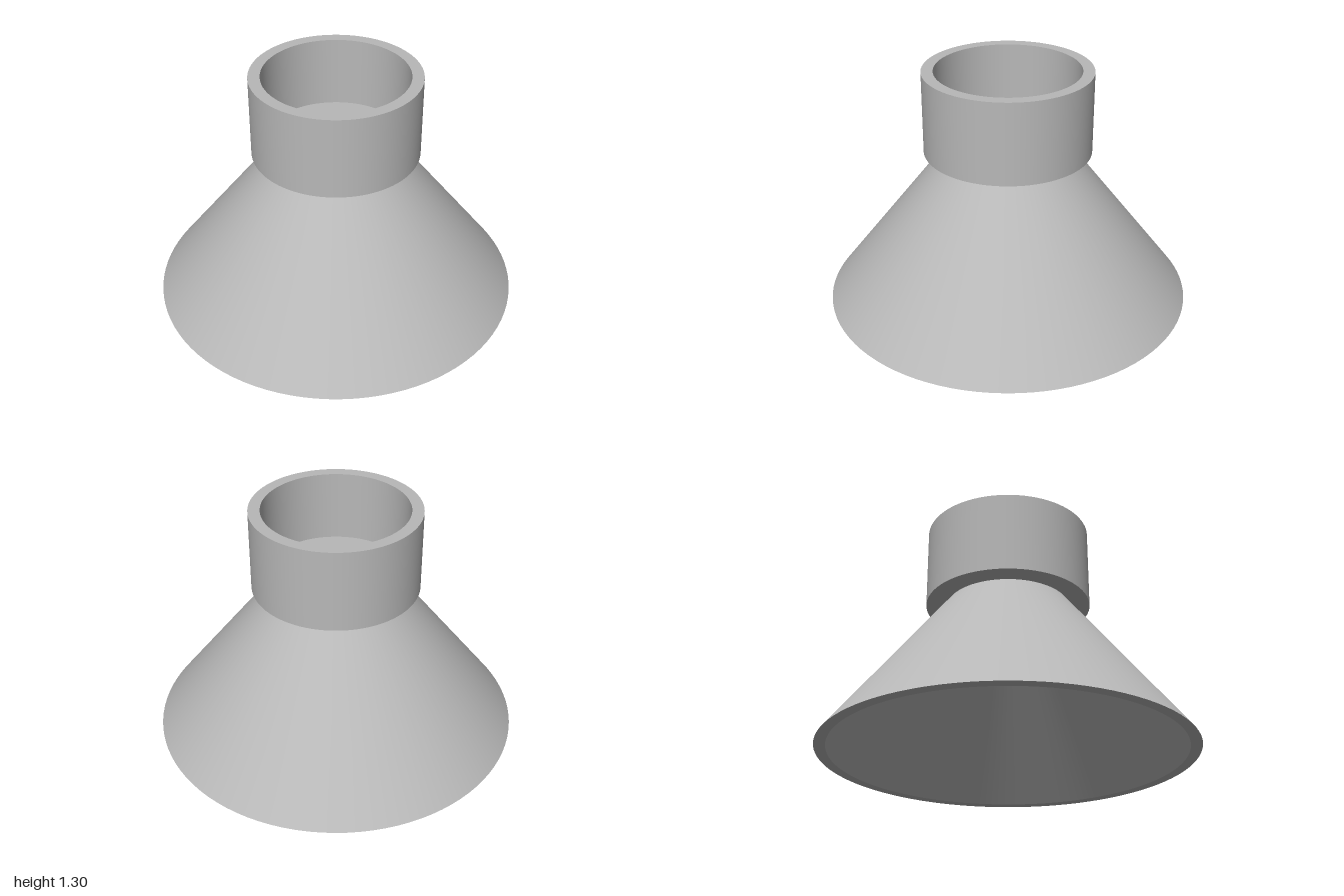
import * as THREE from 'three';
import { mergeGeometries } from 'three/addons/utils/BufferGeometryUtils.js';

// Closed ring profile [radius, y], listed counterclockwise; each edge is lathed alone so corners stay sharp
function ring(name, profile, material) {
  const walls = profile.map((p, i) => {
    const q = profile[(i + 1) % profile.length];
    return new THREE.LatheGeometry([new THREE.Vector2(...p), new THREE.Vector2(...q)], 96);
  });
  const mesh = new THREE.Mesh(mergeGeometries(walls), material);
  mesh.name = name;
  return mesh;
}

export function createModel() {
  const group = new THREE.Group();
  group.name = 'funnel';
  const grey = new THREE.MeshStandardMaterial({ color: 0xb8b8b8 });
  grey.name = 'grey plastic';

  const neckY = 0.855, topY = 1.305, floor = 0.06;

  // Hollow flared skirt
  group.add(ring('skirt', [[0.94, 0], [1, 0], [0.34, neckY], [0.28, neckY]], grey));
  // Floor inside the collar, with the central opening
  group.add(ring('collarFloor', [[0.25, neckY], [0.39, neckY], [0.39, neckY + floor], [0.25, neckY + floor]], grey));
  // Open cylindrical collar
  group.add(ring('collar', [[0.39, neckY], [0.453, neckY], [0.453, topY], [0.39, topY]], grey));

  return group;
}
